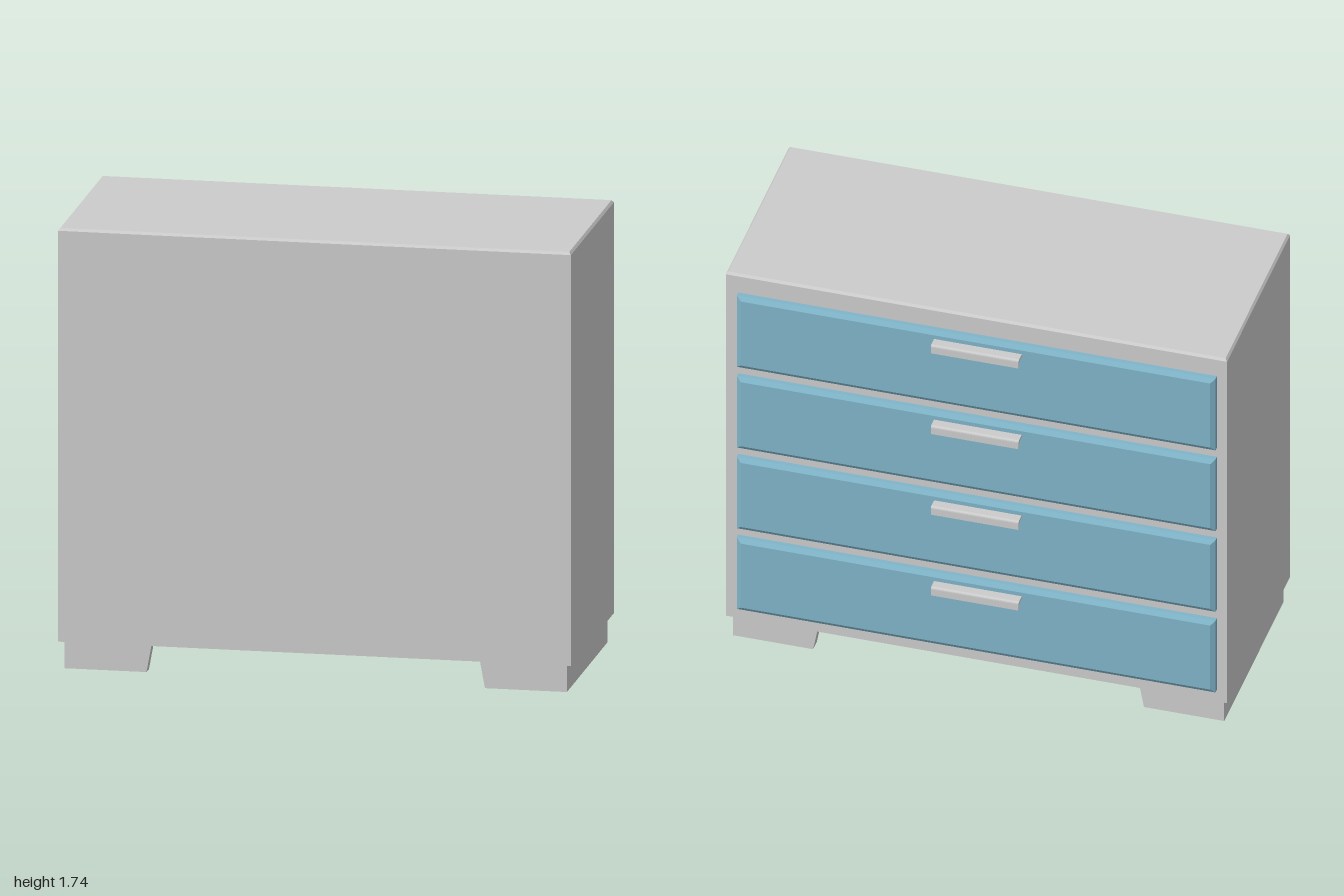
import * as THREE from 'three';

const grey = new THREE.MeshStandardMaterial({ color: 0xcccccc, flatShading: true });
const blue = new THREE.MeshStandardMaterial({ color: 0x7fb4c9, flatShading: true });

function add(parent, name, geometry, material = grey) {
  const mesh = new THREE.Mesh(geometry, material);
  mesh.name = name;
  parent.add(mesh);
  return mesh;
}

// Block from z = 0 to z = d whose +z face is chamfered all round
function chamferedBlock(w, h, d, inset, depth) {
  const g = new THREE.BoxGeometry(w, h, d, 1, 1, 2);
  const p = g.attributes.position;
  for (let i = 0; i < p.count; i++) {
    const z = p.getZ(i);
    if (z > d / 4) {
      p.setX(i, p.getX(i) - Math.sign(p.getX(i)) * inset);
      p.setY(i, p.getY(i) - Math.sign(p.getY(i)) * inset);
    } else if (z > -d / 4) p.setZ(i, d / 2 - depth);
  }
  g.translate(0, 0, d / 2);
  const flat = g.toNonIndexed();
  flat.computeVertexNormals();
  return flat;
}

// Bent lip pull: profile drawn as (distance out, height), swept along x
function handleGeometry(length) {
  const s = new THREE.Shape();
  s.moveTo(0, 0);
  s.lineTo(0.035, 0);
  s.quadraticCurveTo(0.045, 0, 0.045, -0.01);
  s.lineTo(0.045, -0.038);
  s.lineTo(0.036, -0.038);
  s.lineTo(0.036, -0.015);
  s.quadraticCurveTo(0.036, -0.01, 0.031, -0.01);
  s.lineTo(0, -0.01);
  const g = new THREE.ExtrudeGeometry(s, { depth: length, bevelEnabled: false, curveSegments: 4 });
  g.translate(0, 0, -length / 2);
  g.rotateY(Math.PI / 2); // out now points to -z
  return g;
}

// Bracket plate with a slanted inner end, on the side given by sign
function bracketGeometry(sign, thickness) {
  const s = new THREE.Shape([[0.98, 0.11], [0.64, 0.11], [0.66, 0], [0.98, 0]]
    .map(([x, y]) => new THREE.Vector2(sign * x, y)));
  return new THREE.ExtrudeGeometry(s, { depth: thickness, bevelEnabled: false });
}

export function createModel() {
  const model = new THREE.Group();
  model.name = 'chestOfDrawers';

  // Cabinet with a fine chamfer round its top
  const cabinet = add(model, 'cabinet', chamferedBlock(2, 0.855, 1.63, 0.008, 0.01));
  cabinet.rotation.x = -Math.PI / 2;
  cabinet.position.set(0, 0.11, 0.0375);

  // Four drawers with off-centre pulls
  const drawerGeometry = chamferedBlock(1.91, 0.34, 0.035, 0.018, 0.012);
  const pull = handleGeometry(0.35);
  for (let i = 0; i < 4; i++) {
    const drawer = new THREE.Group();
    drawer.name = 'drawer' + (i + 1);
    drawer.position.set(-0.005, 0.335 + i * 0.383, 0);
    const front = add(drawer, 'drawerFront', drawerGeometry, blue);
    front.rotation.y = Math.PI;
    front.position.z = -0.385;
    add(drawer, 'handle', pull).position.set(-0.01, 0.135, -0.418);
    model.add(drawer);
  }

  // U-shaped plinth at each end
  const t = 0.05;
  for (const sign of [-1, 1]) {
    const base = new THREE.Group();
    base.name = sign > 0 ? 'leftBase' : 'rightBase';
    add(base, 'sideRail', new THREE.BoxGeometry(t, 0.11, 0.8 - 2 * t))
      .position.set(sign * (0.98 - t / 2), 0.055, 0.04);
    for (const z of [-0.36, 0.44 - t]) {
      add(base, 'footBracket', bracketGeometry(sign, t)).position.z = z;
    }
    model.add(base);
  }
  return model;
}
